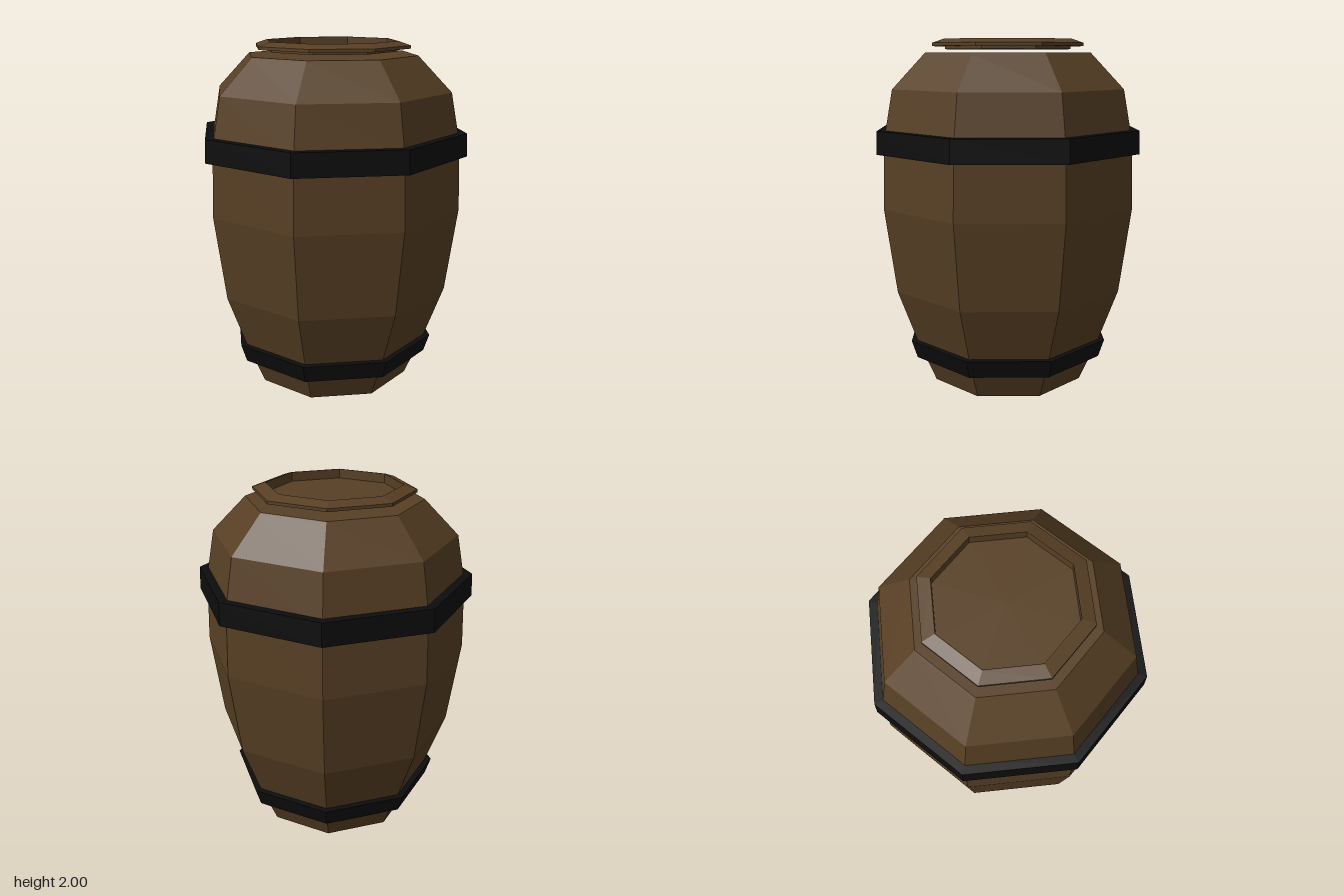
import * as THREE from 'three';

// Eight-sided faceted solid turned from a [radius, y] profile listed bottom to top
function turned(name, profile, material) {
  const points = profile.map(([r, y]) => new THREE.Vector2(r, y));
  const geometry = new THREE.LatheGeometry(points, 8).toNonIndexed();
  geometry.computeVertexNormals();
  const mesh = new THREE.Mesh(geometry, material);
  mesh.name = name;
  return mesh;
}

// Closed iron band with sloped outer and inner walls
function hoop(name, y0, y1, outer0, outer1, inner0, inner1, material) {
  return turned(name, [
    [inner0, y0], [outer0, y0], [outer1, y1], [inner1, y1], [inner0, y0],
  ], material);
}

export function createModel() {
  const wood = new THREE.MeshStandardMaterial({ color: 0x573f24 });
  wood.name = 'brown wood';
  const iron = new THREE.MeshStandardMaterial({ color: 0x0d0d0d });
  iron.name = 'black iron';

  const barrel = new THREE.Group();
  barrel.name = 'barrel';

  // Bulging body with closed ends
  barrel.add(turned('body', [
    [0, 0], [0.463, 0], [0.575, 0.26], [0.688, 0.57], [0.755, 1.06],
    [0.742, 1.45], [0.69, 1.725], [0.505, 1.915], [0.497, 1.923], [0, 1.923],
  ], wood));

  // Lid hovering just above the body, with a plug below and a recessed panel on top
  barrel.add(turned('lid', [
    [0, 1.943], [0.38, 1.943], [0.38, 1.96], [0.455, 1.96], [0.455, 1.977],
    [0.385, 2], [0.38, 2], [0.38, 1.947], [0, 1.947],
  ], wood));

  // Iron hoops
  barrel.add(hoop('upperHoop', 1.37, 1.5, 0.788, 0.783, 0.735, 0.72, iron));
  barrel.add(hoop('lowerHoop', 0.157, 0.262, 0.578, 0.612, 0.52, 0.565, iron));

  return barrel;
}
